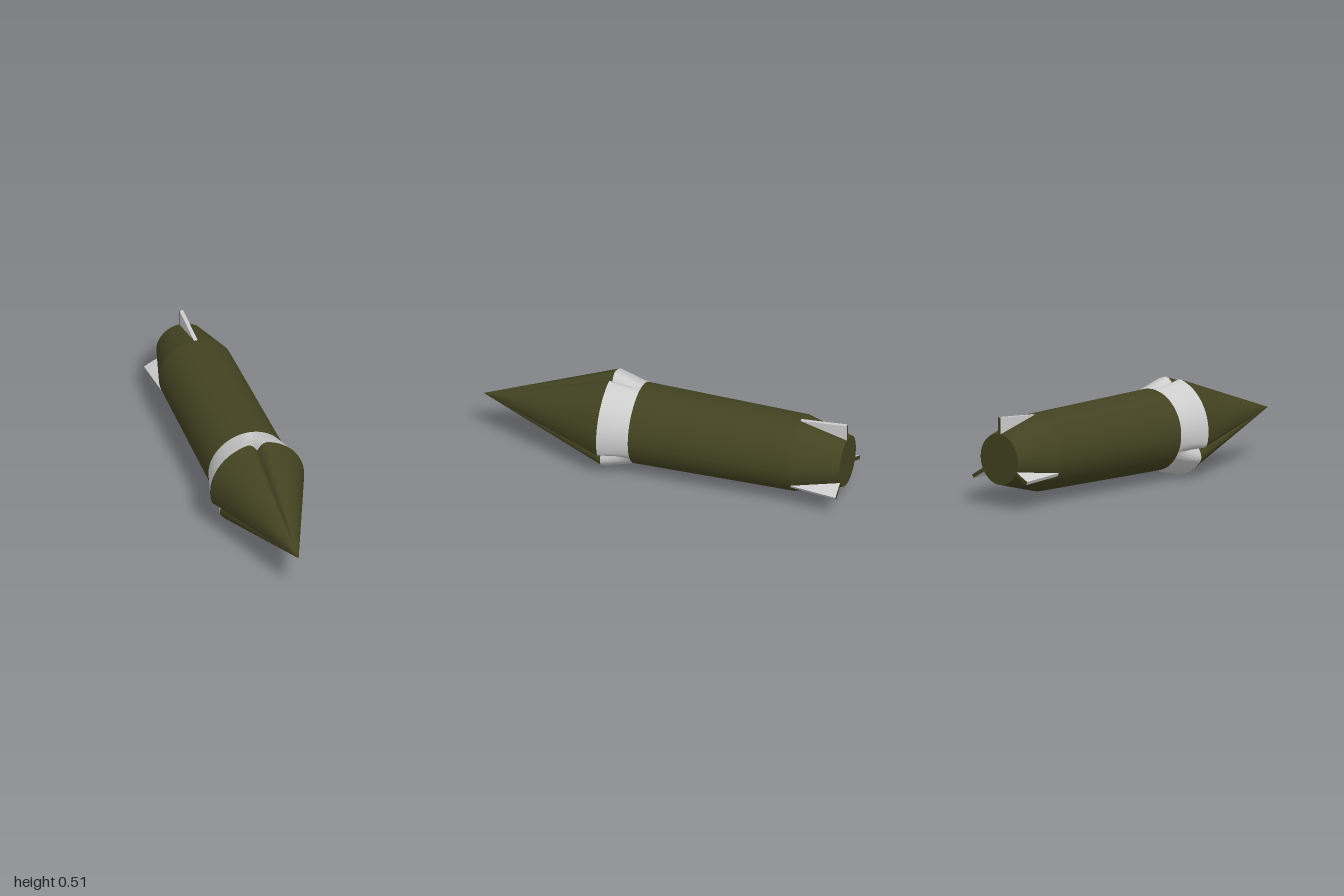
import * as THREE from 'three';
import { toCreasedNormals } from 'three/addons/utils/BufferGeometryUtils.js';

const olive = new THREE.MeshStandardMaterial({ color: 0x434322 });
const grey = new THREE.MeshStandardMaterial({ color: 0xcccccc });
const AXIS_Y = 0.257;
const rad = THREE.MathUtils.degToRad;

// Angles of the three grooves, shared by the fins
const grooves = [90, 207, 329].map(rad);
const GROOVE_HALF = rad(13);
const STEPS = 72;

// Sample angles, with a sample exactly on every groove
const angles = [];
grooves.forEach((start, i) => {
  const end = i < 2 ? grooves[i + 1] : grooves[0] + Math.PI * 2;
  for (let k = 0; k < STEPS; k++) angles.push(start + (end - start) * k / STEPS);
});

// Radius of a rounded-lobe section with the given groove depth
function sectionRadius(angle, radius, depth) {
  let r = radius;
  for (const g of grooves) {
    const d = Math.abs(Math.atan2(Math.sin(angle - g), Math.cos(angle - g)));
    if (d < GROOVE_HALF) r -= depth * (1 - d / GROOVE_HALF) ** 2;
  }
  return r;
}

// Skin through cross-sections [z, radius, grooveDepth], listed front to back
function loft(name, sections, material) {
  const pos = [], index = [], n = angles.length;
  for (const [z, radius, depth] of sections) {
    for (const a of angles) {
      const r = sectionRadius(a, radius, depth);
      pos.push(r * Math.cos(a), r * Math.sin(a), z);
    }
  }
  for (let s = 0; s < sections.length - 1; s++) {
    for (let i = 0; i < n; i++) {
      const a = s * n + i, b = s * n + (i + 1) % n;
      index.push(a, a + n, b, b, a + n, b + n);
    }
  }
  const geo = new THREE.BufferGeometry();
  geo.setAttribute('position', new THREE.Float32BufferAttribute(pos, 3));
  geo.setIndex(index);
  const mesh = new THREE.Mesh(toCreasedNormals(geo, rad(45)), material);
  mesh.name = name;
  return mesh;
}

// Thin triangular blade along the tail, with an olive trailing edge
function makeFin(angle) {
  const fin = new THREE.Group();
  fin.name = 'tailFin';
  const T = 0.02;
  const shape = new THREE.Shape([
    new THREE.Vector2(0.745, 0.19), new THREE.Vector2(0.745, 0.203),
    new THREE.Vector2(1, 0.223), new THREE.Vector2(1, 0.12),
  ]);
  const geo = new THREE.ExtrudeGeometry(shape, { depth: T, bevelEnabled: false });
  geo.translate(0, 0, -T / 2);
  geo.rotateY(Math.PI / 2);
  const blade = new THREE.Mesh(geo, grey);
  blade.name = 'finBlade';
  const edge = new THREE.Mesh(new THREE.BoxGeometry(T, 0.103, 0.002), olive);
  edge.name = 'finTrailingEdge';
  edge.position.set(0, 0.1715, -0.9995);
  fin.add(blade, edge);
  fin.rotation.z = angle - Math.PI / 2;
  return fin;
}

export function createModel() {
  const model = new THREE.Group();
  model.name = 'rocket';
  const rocket = new THREE.Group();
  rocket.name = 'rocketBody';
  rocket.position.y = AXIS_Y;

  // Grooved pointed nose, tapering straight to the tip
  const nose = [0.002, 0.1, 0.3, 0.6, 1].map(t => [1 - 0.705 * t, 0.257 * t, 0.05 * t]);
  rocket.add(loft('noseCone', nose, olive));

  // Collar blends the grooved nose into the round body
  const collar = [0, 0.25, 0.5, 0.75, 1].map(t => [0.295 - 0.16 * t, 0.257 - 0.042 * t, 0.05 * (1 - t)]);
  rocket.add(loft('collar', collar, grey));

  // Main tube and tapered tail
  rocket.add(loft('mainTube', [[0.135, 0.215, 0], [-0.745, 0.203, 0]], olive));
  rocket.add(loft('tailCone', [[-0.745, 0.203, 0], [-1, 0.135, 0]], olive));

  const cap = new THREE.Mesh(new THREE.CircleGeometry(0.135, 96), olive);
  cap.name = 'tailCap';
  cap.rotation.y = Math.PI;
  cap.position.z = -1;
  rocket.add(cap);

  // One fin in line with each groove
  grooves.forEach(a => rocket.add(makeFin(a)));

  model.add(rocket);
  return model;
}
